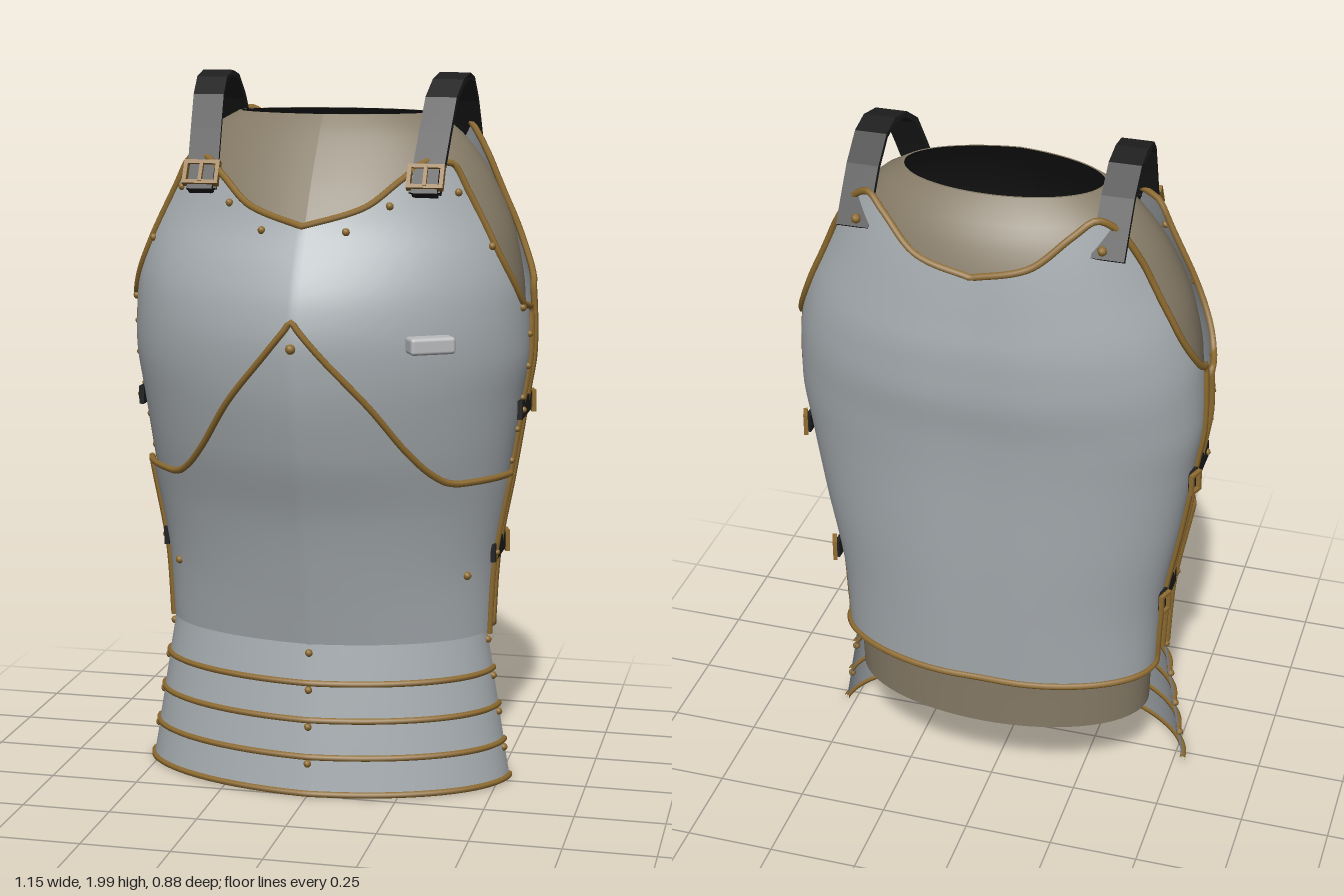
import * as THREE from 'three';
import { RoundedBoxGeometry } from 'three/addons/geometries/RoundedBoxGeometry.js';

const D = Math.PI / 180;
const mat = (name, color, side = THREE.FrontSide) => new THREE.MeshStandardMaterial({ name, color, side });

// Smooth lookup through [key, value] pairs, flat at peaks and dips
function track(pts) {
  const n = pts.length;
  const sl = i => (pts[i + 1][1] - pts[i][1]) / (pts[i + 1][0] - pts[i][0]);
  const m = pts.map((_, i) => {
    if (i === 0) return sl(0);
    if (i === n - 1) return sl(n - 2);
    const a = sl(i - 1), b = sl(i);
    return a * b <= 0 ? 0 : (2 * a * b) / (a + b);
  });
  return x => {
    if (x <= pts[0][0]) return pts[0][1];
    if (x >= pts[n - 1][0]) return pts[n - 1][1];
    let i = 0;
    while (x > pts[i + 1][0]) i++;
    const h = pts[i + 1][0] - pts[i][0], u = (x - pts[i][0]) / h, u2 = u * u, u3 = u2 * u;
    return (2 * u3 - 3 * u2 + 1) * pts[i][1] + (u3 - 2 * u2 + u) * h * m[i]
      + (3 * u2 - 2 * u3) * pts[i + 1][1] + (u3 - u2) * h * m[i + 1];
  };
}

// Cross-section shapes: ridged chest, grooved back
const ridged = k => t => (1 - k) * Math.cos(t) + k * (1 - Math.abs(Math.sin(t)));
const grooved = t => Math.cos(t) - 0.035 * Math.exp(-((t / 0.2) ** 2));

const width = track([[0.43, 0.455], [0.6, 0.463], [0.9, 0.512], [1.1, 0.543], [1.25, 0.563],
  [1.4, 0.558], [1.55, 0.53], [1.7, 0.475], [1.8, 0.445], [1.9, 0.42]]);
const chestZ = track([[0.43, 0.21], [0.6, 0.25], [0.8, 0.302], [1, 0.372], [1.2, 0.415], [1.3, 0.422],
  [1.4, 0.407], [1.5, 0.365], [1.6, 0.305], [1.7, 0.27], [1.8, 0.24]]);
const backZ = track([[0.43, 0.355], [0.8, 0.385], [1.1, 0.405], [1.25, 0.42], [1.4, 0.44], [1.5, 0.44],
  [1.6, 0.428], [1.75, 0.405], [1.9, 0.37]]);
const front = { w: width, d: chestZ, h: ridged(0.25), zs: -0.06, dir: 1 };
const back = { w: width, d: backZ, h: grooved, zs: -0.135, dir: -1 };

// Point on a body surface; t is the angle from the middle line
function surf(s, t, y, off = 0) {
  return new THREE.Vector3(s.dir * (s.w(y) + off) * Math.sin(t), y,
    s.zs + s.dir * (s.d(y) + s.dir * s.zs * -1 + off) * s.h(t));
}

function grid(cols, rows, fn, flip = false) {
  const pos = [], idx = [];
  for (let j = 0; j <= rows; j++) for (let i = 0; i <= cols; i++) pos.push(...fn(i / cols, j / rows).toArray());
  for (let j = 0; j < rows; j++) for (let i = 0; i < cols; i++) {
    const a = j * (cols + 1) + i, b = a + 1, d = a + cols + 1, c = d + 1;
    if (flip) idx.push(a, c, b, a, d, c); else idx.push(a, b, c, a, c, d);
  }
  const g = new THREE.BufferGeometry();
  g.setAttribute('position', new THREE.Float32BufferAttribute(pos, 3));
  g.setIndex(idx);
  g.computeVertexNormals();
  return g;
}

// Flat strap in the z-y plane, given its outer line
function ribbon(pts, thick, wide) {
  const v = pts.map(p => new THREE.Vector2(...p));
  const inner = v.map((p, i) => {
    const d = v[Math.min(i + 1, v.length - 1)].clone().sub(v[Math.max(i - 1, 0)]).normalize();
    return new THREE.Vector2(p.x - d.y * thick, p.y + d.x * thick);
  });
  const g = new THREE.ExtrudeGeometry(new THREE.Shape([...v, ...inner.reverse()]), { depth: wide, bevelEnabled: false });
  return g.translate(0, 0, -wide / 2).rotateY(-Math.PI / 2);
}

function frame(w, h, bar, depth) {
  const rect = (T, a, b) => new T([[-a, -b], [a, -b], [a, b], [-a, b]].map(p => new THREE.Vector2(...p)));
  const s = rect(THREE.Shape, w / 2, h / 2);
  s.holes.push(rect(THREE.Path, w / 2 - bar, h / 2 - bar));
  return new THREE.ExtrudeGeometry(s, { depth, bevelEnabled: false }).translate(0, 0, -depth / 2);
}

export function createModel() {
  const root = new THREE.Group();
  root.name = 'torsoArmour';
  const steel = mat('steel', 0xa7adb1, THREE.DoubleSide);
  const bright = mat('brightSteel', 0xb9bbbd);
  const brass = mat('brass', 0x8f6c30);
  const cloth = mat('paddedCloth', 0x857a66);
  const black = mat('blackLeather', 0x1f1f1f);

  const add = (name, geo, m, parent = root) => {
    const o = new THREE.Mesh(geo, m);
    o.name = name;
    parent.add(o);
    return o;
  };
  const trim = (name, pts, r = 0.0095, closed = false) =>
    add(name, new THREE.TubeGeometry(new THREE.CatmullRomCurve3(pts, closed, 'centripetal'), pts.length * 2, r, 6, closed), brass);
  const rivet = (p, r = 0.011) => add('rivet', new THREE.SphereGeometry(r, 8, 6), brass).position.copy(p);

  // A plate with its upper outline as a height over the angle in degrees
  function plate(name, s, top, maxDeg, off, hem) {
    const T = maxDeg * D, bot = 0.43;
    const upper = t => top(Math.abs(t) / D);
    add(name, grid(112, 40, (u, v) => {
      const t = (2 * u - 1) * T;
      return surf(s, t, bot + (upper(t) - bot) * v, off);
    }), steel);
    const edge = [], o = off + 0.003;
    const side = (sg, k) => surf(s, sg * T, bot + (upper(T) - bot) * k, o);
    for (let k = 0; k < 14; k++) edge.push(side(-1, k / 14));
    for (let k = 0; k <= 90; k++) { const t = (k / 45 - 1) * T; edge.push(surf(s, t, upper(t), o)); }
    for (let k = 13; k >= 0; k--) edge.push(side(1, k / 14));
    if (hem) for (let k = 39; k > 0; k--) edge.push(surf(s, (k / 20 - 1) * T, bot, o));
    trim(name + 'Trim', edge, 0.0095, hem);
  }
  plate('breastplate', front, track([[0, 1.61], [18, 1.655], [32, 1.73], [43, 1.775], [54, 1.765], [59, 1.68],
    [64, 1.56], [72, 1.45], [80, 1.38], [90, 1.365]]), 90, 0, false);
  plate('bellyPlate', front, track([[0, 1.37], [10, 1.25], [20, 1.14], [32, 1.0], [40, 0.935], [46, 0.907],
    [51, 0.9], [82, 0.9]]), 82, 0.011, false);
  plate('backplate', back, track([[0, 1.73], [18, 1.765], [35, 1.85], [45, 1.885], [53, 1.86], [64, 1.75],
    [72, 1.55], [80, 1.46], [86, 1.425], [90, 1.42]]), 90, 0, true);

  // Padded lining with a dark inner face
  const lw = track([[0.26, 0.43], [0.43, 0.435], [0.9, 0.495], [1.25, 0.545], [1.4, 0.54], [1.55, 0.515],
    [1.7, 0.455], [1.8, 0.39], [1.86, 0.33], [1.89, 0.275]]);
  const lf = track([[0.26, 0.175], [0.43, 0.185], [0.9, 0.32], [1.25, 0.395], [1.4, 0.38], [1.5, 0.335], [1.6, 0.27],
    [1.7, 0.205], [1.8, 0.13], [1.86, 0.08], [1.89, 0.05]]);
  const lb = track([[0.26, 0.33], [0.43, 0.335], [0.9, 0.37], [1.25, 0.395], [1.4, 0.41], [1.6, 0.395], [1.7, 0.37],
    [1.8, 0.33], [1.86, 0.285], [1.89, 0.25]]);
  const lining = off => (u, v) => {
    const t = u * Math.PI * 2, y = 0.26 + 1.63 * v, c = Math.cos(t), zs = -0.1;
    const z = c > 0 ? zs + (lf(y) - zs + off) * ridged(0.15)(t) : zs + (lb(y) + zs + off) * c;
    return new THREE.Vector3((lw(y) + off) * Math.sin(t), y, z);
  };
  add('lining', grid(64, 60, lining(0)), cloth);
  add('liningInside', grid(64, 60, lining(-0.006), true), black);
  for (const v of [0, 1]) add('liningEdge', grid(64, 1, (u, k) => lining(-0.006 * k)(u, v), v === 0), cloth);

  // Overlapping skirt lames
  for (let i = 0; i < 4; i++) {
    const y0 = 0.33 - 0.105 * i, y1 = y0 + 0.108;
    const lerp = (a, b) => y => a + (b - a) * (y - y0) / (y1 - y0);
    const s = { w: lerp(0.475 + 0.017 * i, 0.456 + 0.017 * i), d: lerp(0.238 + 0.007 * i, 0.222 + 0.007 * i),
      h: ridged(0.1), zs: -0.04, dir: 1 };
    add('skirtLame', grid(48, 3, (u, v) => surf(s, (u - 0.5) * Math.PI, y0 + (y1 - y0) * v)), steel);
    trim('skirtTrim', Array.from({ length: 41 }, (_, k) => surf(s, (k / 40 - 0.5) * Math.PI, y0, 0.001)), 0.009);
    for (const t of [-86 * D, 0, 86 * D]) rivet(surf(s, t, y0 + 0.084, 0.002));
  }

  // Rivets on the chest, back and side edges
  const onFront = (x, y, off = 0.002) => surf(front, Math.asin(x / width(y)), y, off);
  rivet(onFront(0, 1.3, 0.012), 0.014);
  for (const sx of [-1, 1]) {
    for (const [x, y] of [[0.115, 1.595], [0.22, 1.66], [0.385, 1.69], [0.475, 1.545]]) rivet(onFront(sx * x, y));
    rivet(onFront(sx * 0.405, 0.62, 0.013), 0.012);
    rivet(surf(front, sx * 79 * D, 1.37, 0.002));
    for (let y = 0.48; y < 1.3; y += 0.09) rivet(surf(front, sx * 87 * D, y, 0.003), 0.009);
  }

  // Shoulder straps with buckles
  const line = [[0.19, 1.695], [0.1, 1.85], [0.045, 1.94], [-0.02, 1.985], [-0.1, 2.0], [-0.17, 1.985],
    [-0.24, 1.925], [-0.285, 1.865], [-0.335, 1.795]];
  for (const sx of [-1, 1]) {
    const g = ribbon(line, 0.016, 0.086), p = g.attributes.position;
    for (let i = 0; i < p.count; i++) {
      const k = Math.min(1, Math.max(0, (0.19 - p.getZ(i)) / 0.25));
      p.setX(i, p.getX(i) + sx * (0.308 + 0.03 * k));
    }
    g.computeVertexNormals();
    add('shoulderStrap', g, black);
    const buckle = new THREE.Group();
    buckle.name = 'shoulderBuckle';
    buckle.position.set(sx * 0.31, 1.735, 0.178);
    buckle.rotation.x = -0.52;
    add('buckleFrame', frame(0.1, 0.07, 0.011, 0.022), brass, buckle);
    add('bucklePin', new THREE.BoxGeometry(0.01, 0.06, 0.012), brass, buckle).position.z = 0.008;
    add('buckleTab', new THREE.BoxGeometry(0.07, 0.08, 0.03), black, buckle).position.set(0, -0.008, -0.012);
    root.add(buckle);
    rivet(new THREE.Vector3(sx * 0.325, 1.82, -0.338), 0.013);

    // Side straps joining chest and back
    for (const y of [1.08, 0.67]) {
      const strap = new THREE.Group();
      strap.name = 'sideStrap';
      strap.position.set(sx * (width(y) + 0.006), y, -0.095);
      add('sideStrapLeather', new THREE.BoxGeometry(0.014, 0.052, 0.19), black, strap);
      const b = add('sideBuckle', frame(0.045, 0.062, 0.009, 0.012), brass, strap);
      b.position.set(sx * 0.01, 0, -0.085);
      b.rotation.y = sx * (Math.PI / 2 + 0.35);
      add('sideStrapRivet', new THREE.SphereGeometry(0.009, 8, 6), brass, strap).position.set(sx * 0.008, 0, 0.075);
      root.add(strap);
    }
  }

  // Rest block on the left of the chest
  const rest = add('restBlock', new RoundedBoxGeometry(0.125, 0.046, 0.056, 3, 0.01), bright);
  rest.position.set(0.355, 1.308, 0.33);
  rest.rotation.y = 0.52;
  return root;
}
